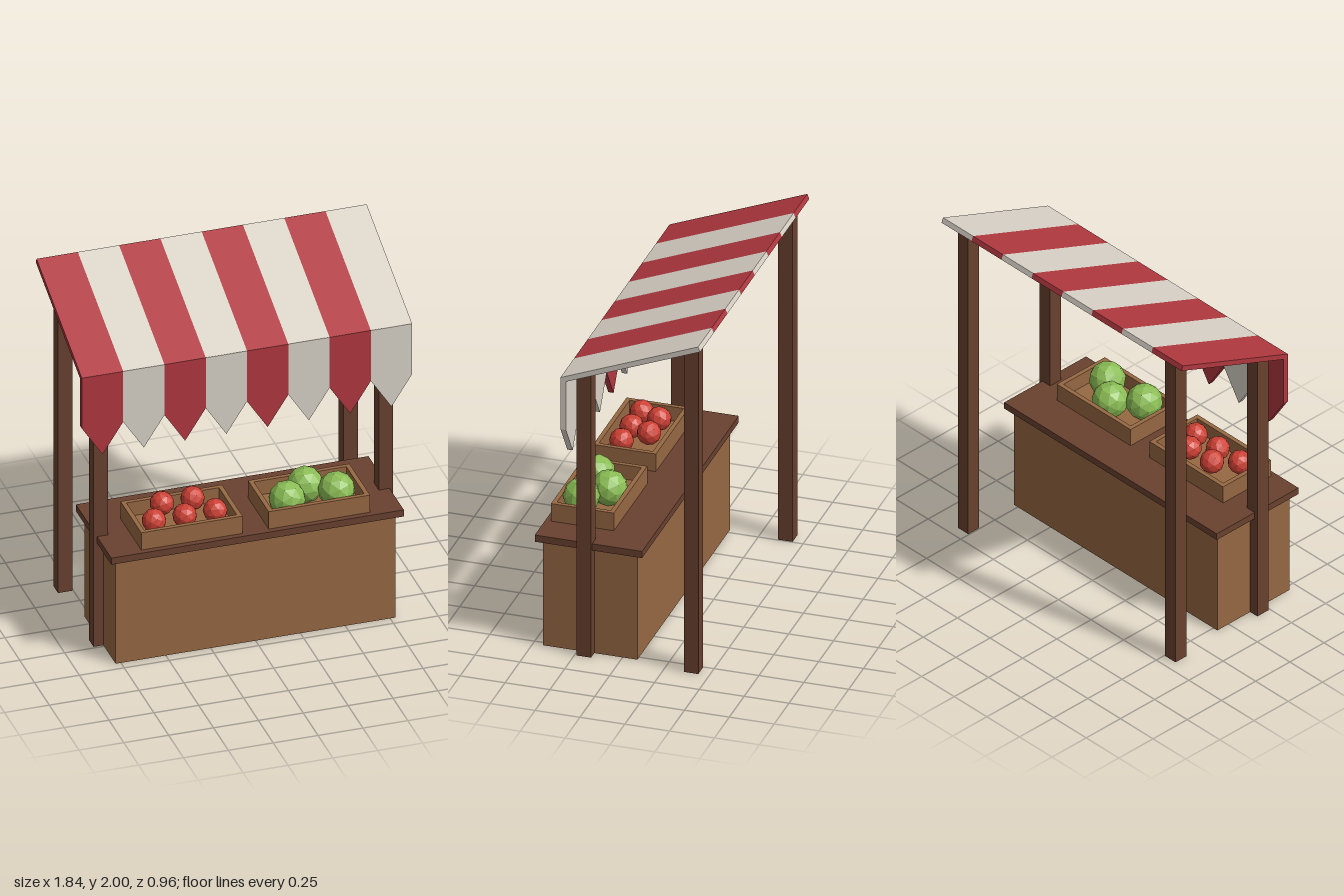
import * as THREE from 'three';

const paint = (name, color, flatShading = false) => {
  const m = new THREE.MeshStandardMaterial({ color, flatShading });
  m.name = name;
  return m;
};

export function createModel() {
  const lightWood = paint('lightWood', 0x966843);
  const darkWood = paint('darkWood', 0x69412f);
  const red = paint('canopyRed', 0xb0383f);
  const cream = paint('canopyCream', 0xd9d2c7);
  const tomatoRed = paint('tomatoRed', 0xcd4034, true);
  const cabbageGreen = paint('cabbageGreen', 0x8abc54, true);

  const stall = new THREE.Group();
  stall.name = 'marketStall';

  const add = (parent, name, geometry, material, x, y, z) => {
    const mesh = new THREE.Mesh(geometry, material);
    mesh.name = name;
    mesh.position.set(x, y, z);
    parent.add(mesh);
    return mesh;
  };
  // box given by its centre in x and z, and its bottom in y
  const box = (parent, name, material, w, h, d, x, y, z) =>
    add(parent, name, new THREE.BoxGeometry(w, h, d), material, x, y + h / 2, z);

  // counter
  box(stall, 'counterBody', lightWood, 1.56, 0.63, 0.527, 0, 0, 0.181);
  box(stall, 'counterTop', darkWood, 1.63, 0.04, 0.598, 0, 0.63, 0.179);

  // posts
  for (const side of [-1, 1]) {
    box(stall, 'frontPost', darkWood, 0.08, 1.71, 0.08, side * 0.795, 0, 0.198);
    box(stall, 'backPost', darkWood, 0.08, 1.955, 0.08, side * 0.795, 0, -0.4);
  }

  // striped canopy: a sloping panel and a pointed valance per stripe
  const stripe = 0.23;
  const panel = new THREE.BoxGeometry(stripe, 0.03, 0.827);
  const point = new THREE.Shape([
    new THREE.Vector2(-stripe / 2, 1.69),
    new THREE.Vector2(-stripe / 2, 1.383),
    new THREE.Vector2(0, 1.205),
    new THREE.Vector2(stripe / 2, 1.383),
    new THREE.Vector2(stripe / 2, 1.69),
  ]);
  const valance = new THREE.ExtrudeGeometry(point, { depth: 0.03, bevelEnabled: false });
  for (let i = 0; i < 8; i++) {
    const material = i % 2 ? cream : red;
    const x = (i - 3.5) * stripe;
    add(stall, 'canopyPanel', panel, material, x, 1.832, -0.089).rotation.x = 0.382;
    add(stall, 'canopyValance', valance, material, x, 0, 0.27);
  }

  // open crates with a floor and four walls
  const W = 0.565, D = 0.35, H = 0.105, T = 0.025;
  const crate = (name, x) => {
    const g = new THREE.Group();
    g.name = name;
    g.position.set(x, 0.67, 0.271);
    box(g, 'crateFloor', lightWood, W - 2 * T, 0.02, D - 2 * T, 0, 0, 0);
    for (const s of [-1, 1]) {
      box(g, 'crateLongWall', lightWood, W, H, T, 0, 0, s * (D - T) / 2);
      box(g, 'crateEndWall', lightWood, T, H, D - 2 * T, s * (W - T) / 2, 0, 0);
    }
    stall.add(g);
  };
  crate('tomatoCrate', -0.355);
  crate('cabbageCrate', 0.355);

  // produce, each turned a little differently
  const heap = (name, radius, material, spots) => {
    const ball = new THREE.IcosahedronGeometry(radius, 1);
    spots.forEach(([x, y, z], i) => {
      add(stall, name, ball, material, x, y, z).rotation.set(i * 0.7, i * 1.3, i * 0.4);
    });
  };
  heap('tomato', 0.066, tomatoRed, [
    [-0.527, 0.765, 0.325], [-0.356, 0.765, 0.325], [-0.186, 0.765, 0.325],
    [-0.442, 0.787, 0.2], [-0.271, 0.787, 0.2],
  ]);
  heap('cabbage', 0.1, cabbageGreen, [
    [0.213, 0.768, 0.33], [0.49, 0.77, 0.325], [0.352, 0.766, 0.215],
  ]);

  return stall;
}
